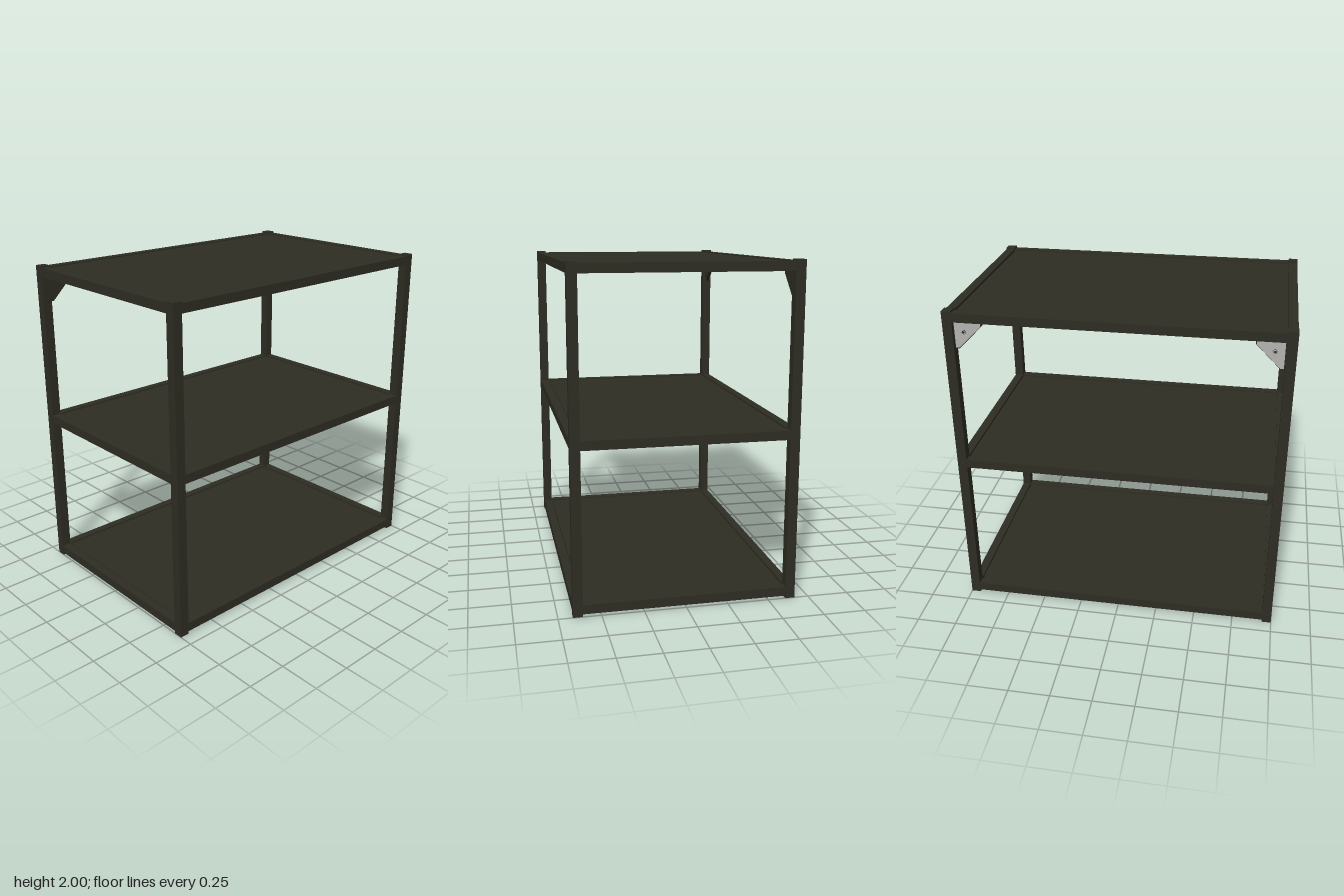
import * as THREE from 'three';

const W = 1, D = 0.665, T = 0.058; // half width, half depth, tube thickness

export function createModel() {
  const frame = new THREE.MeshStandardMaterial({ color: 0x2e2d23 });
  frame.name = 'dark olive frame';
  const steel = new THREE.MeshStandardMaterial({ color: 0xb4b5b2 });
  steel.name = 'bare steel';

  const model = new THREE.Group();
  model.name = 'shelvingUnit';

  function box(parent, name, w, h, d, x, y, z, mat = frame) {
    const m = new THREE.Mesh(new THREE.BoxGeometry(w, h, d), mat);
    m.name = name;
    m.position.set(x, y, z);
    parent.add(m);
    return m;
  }

  // Corner posts
  for (const sx of [-1, 1]) for (const sz of [-1, 1])
    box(model, 'post', T, 2, T, sx * (W - T / 2), 1, sz * (D - T / 2));

  // Three identical shelf levels: rails, recessed panel, rib and clips
  function shelf(name, y) {
    const g = new THREE.Group();
    g.name = name;
    g.position.y = y;
    const h = 0.055;
    for (const s of [-1, 1]) {
      box(g, 'longRail', 2 * (W - T), h, T - 0.004, 0, 0, s * (D - T / 2));
      box(g, 'sideRail', T - 0.004, h, 2 * (D - T), s * (W - T / 2), 0, 0);
      // folded panel edges
      box(g, 'longFlange', 1.85, 0.035, 0.008, 0, 0.002, s * 0.597);
      box(g, 'sideFlange', 0.008, 0.035, 1.14, s * 0.928, 0.002, 0);
      box(g, 'sideSupport', 0.014, 0.02, 1.14, s * 0.937, 0.002, 0);
      for (const sz of [-1, 1]) {
        box(g, 'clip', 0.012, 0.01, 0.08, s * 0.9, -0.014, sz * 0.5);
        const bolt = new THREE.Mesh(new THREE.CylinderGeometry(0.007, 0.007, 0.046, 10), frame);
        bolt.name = 'bolt';
        bolt.position.set(s * 0.82, -0.008, sz * 0.57);
        g.add(bolt);
      }
    }
    box(g, 'panel', 1.868, 0.008, 1.206, 0, 0.018, 0);
    box(g, 'stiffenerRib', 1.84, 0.02, 0.03, 0, 0.004, 0);
    model.add(g);
  }
  shelf('bottomShelf', 0.0425);
  shelf('middleShelf', 1.0025);
  shelf('topShelf', 1.9625);

  // Corner gussets on the back; corner at the origin, legs along -x and -y
  function gussetShape(inset) {
    const i = inset, s = new THREE.Shape();
    s.moveTo(-i, -i);
    s.lineTo(-i, -0.165 + i);
    s.lineTo(-0.025 - i * 0.4, -0.165 + i);
    s.lineTo(-0.168 + i, -0.022 - i * 0.4);
    s.lineTo(-0.168 + i, -i);
    s.closePath();
    return s;
  }
  function extrude(shape, depth, mat, name, z) {
    const m = new THREE.Mesh(new THREE.ExtrudeGeometry(shape, { depth, bevelEnabled: false }), mat);
    m.name = name;
    m.position.z = z;
    return m;
  }
  for (const s of [-1, 1]) {
    const g = new THREE.Group();
    g.name = 'gusset';
    g.add(extrude(gussetShape(0), 0.02, frame, 'gussetBody', 0));
    g.add(extrude(gussetShape(0.006), 0.004, steel, 'gussetFace', -0.004));
    // screw with a washer ring
    const screw = new THREE.Mesh(new THREE.CylinderGeometry(0.014, 0.014, 0.01, 16), frame);
    screw.name = 'screw';
    screw.rotation.x = Math.PI / 2;
    screw.position.set(-0.06, -0.06, -0.006);
    g.add(screw);
    const ring = new THREE.Mesh(new THREE.TorusGeometry(0.011, 0.003, 6, 16), steel);
    ring.name = 'washer';
    ring.position.set(-0.06, -0.06, -0.011);
    g.add(ring);
    // mirrored placement
    g.position.set(s * (W - T), 1.935, -0.645);
    g.scale.x = s;
    model.add(g);
  }
  return model;
}
